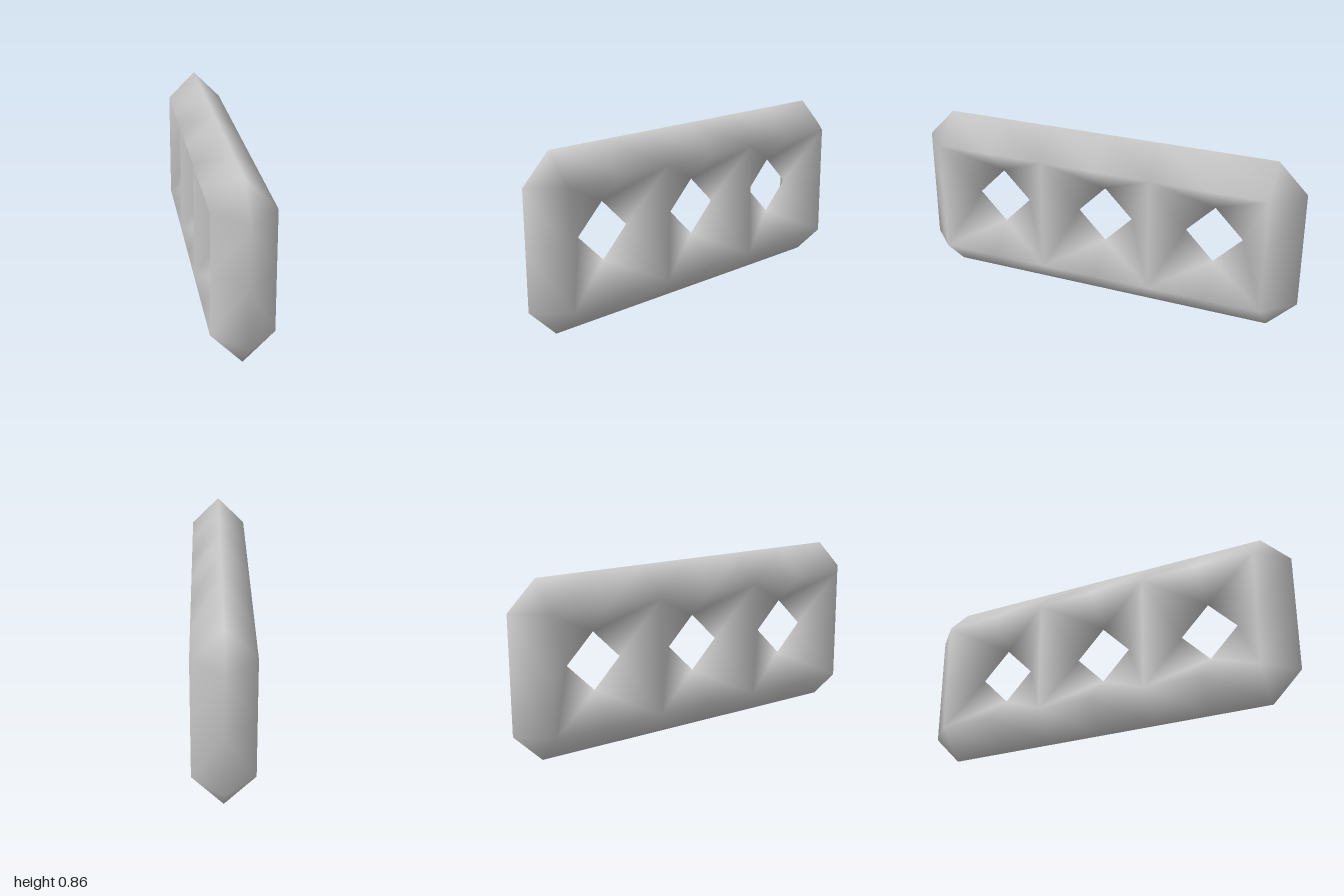
import * as THREE from 'three';
import { mergeVertices } from 'three/addons/utils/BufferGeometryUtils.js';

// Everything sits on a lattice of 1/7 unit: x is thickness, y is centred, z is length
const UNIT = 1 / 7;

export function createModel() {
  const positions = [];
  const push = (p, mirror) =>
    positions.push(p[0] * UNIT * mirror, (p[1] + 3) * UNIT, p[2] * UNIT);

  // Adds a facet facing +x and its mirror facing -x
  const tri = (a, b, c) => {
    const facing = (b[1] - a[1]) * (c[2] - a[2]) - (b[2] - a[2]) * (c[1] - a[1]);
    if (facing < 0) [b, c] = [c, b];
    for (const p of [a, b, c]) push(p, 1);
    for (const p of [a, c, b]) push(p, -1);
  };
  const quad = (a, b, c, d) => { tri(a, b, c); tri(a, c, d); };

  // Three openings, each narrowing from a square rim to a diamond hole
  for (const c of [-4, 0, 4]) {
    for (const sy of [-1, 1]) {
      for (const sz of [-1, 1]) {
        const corner = [1, 2 * sy, c + 2 * sz];
        const holeY = [0, sy, c];
        const holeZ = [0, 0, c + sz];
        tri(corner, [1, 2 * sy, c], holeY);
        tri(corner, holeY, holeZ);
        tri(corner, holeZ, [1, 0, c + 2 * sz]);
      }
    }
  }

  for (const s of [-1, 1]) {
    // Outer slopes of the long rails
    for (let z = -6; z < 6; z += 2) {
      quad([1, 2 * s, z], [1, 2 * s, z + 2], [0, 3 * s, z + 2], [0, 3 * s, z]);
    }
    // Outer slopes of the end posts
    for (let y = -2; y < 2; y += 2) {
      quad([1, y, 6 * s], [1, y + 2, 6 * s], [0, y + 2, 7 * s], [0, y, 7 * s]);
    }
    // Chamfered outer corners
    for (const sz of [-1, 1]) {
      tri([1, 2 * s, 6 * sz], [0, 3 * s, 6 * sz], [0, 2 * s, 7 * sz]);
    }
  }

  // Shared vertices give the soft shading across the ridges
  let geometry = new THREE.BufferGeometry();
  geometry.setAttribute('position', new THREE.Float32BufferAttribute(positions, 3));
  geometry = mergeVertices(geometry, 1e-4);
  geometry.computeVertexNormals();

  const frame = new THREE.Mesh(geometry, new THREE.MeshStandardMaterial({ color: 0xcccccc }));
  frame.name = 'threeHoleFrame';
  const group = new THREE.Group();
  group.name = 'latticeBlock';
  group.add(frame);
  return group;
}
